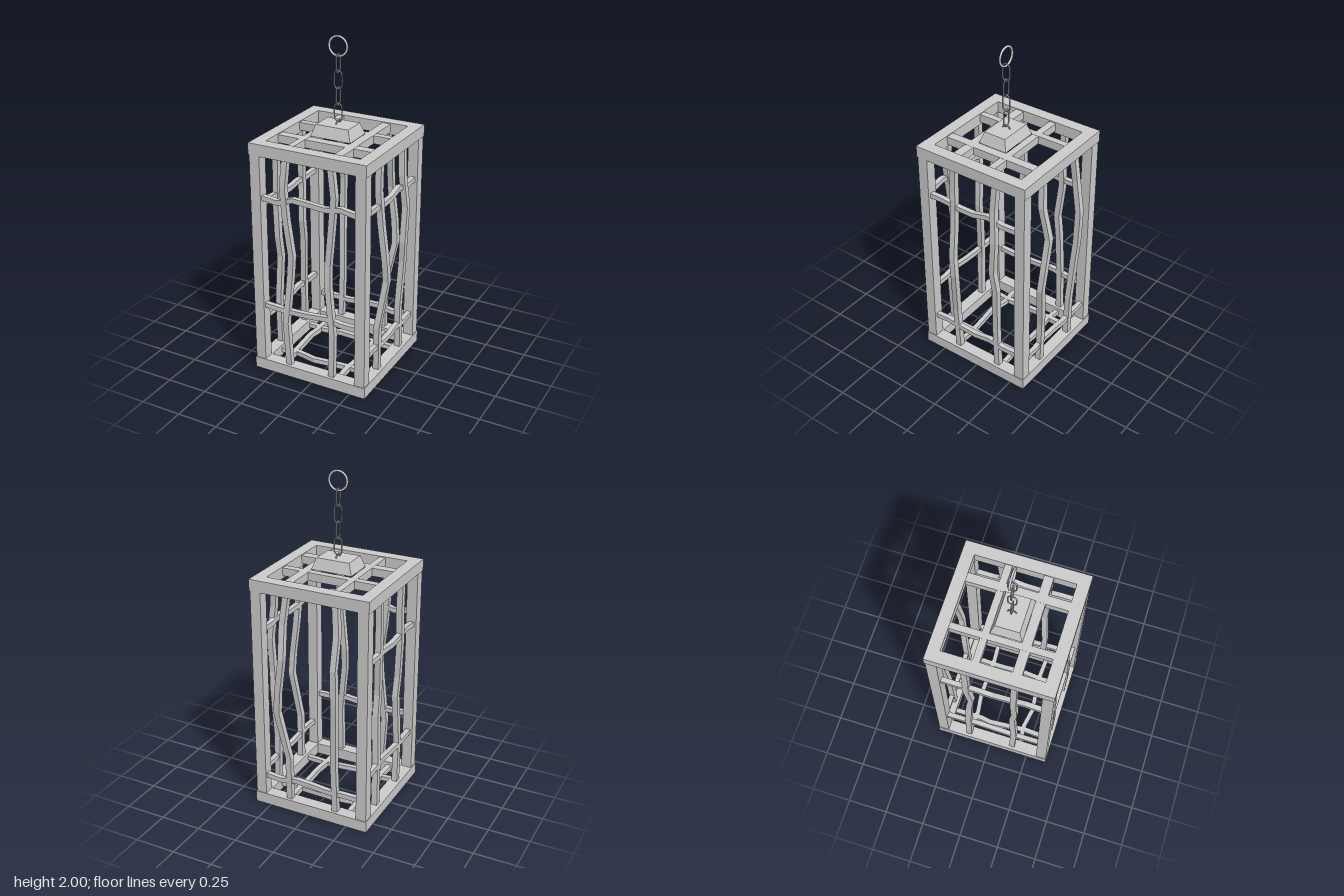
import * as THREE from 'three';

const grey = new THREE.MeshStandardMaterial({ color: 0xcccccc });
const flat = new THREE.MeshStandardMaterial({ color: 0xcccccc, flatShading: true });
const CX = -0.016, CZ = 0.018, HALF = 0.365; // cage centre and half width

function add(parent, name, geometry, material = flat) {
  const mesh = new THREE.Mesh(geometry, material);
  mesh.name = name;
  parent.add(mesh);
  return mesh;
}

function box(parent, name, x0, x1, y0, y1, z0, z1) {
  const mesh = add(parent, name, new THREE.BoxGeometry(x1 - x0, y1 - y0, z1 - z0));
  mesh.position.set((x0 + x1) / 2, (y0 + y1) / 2, (z0 + z1) / 2);
}

// Crooked square bar through points that ascend along one axis (0 x, 1 y, 2 z)
function branch(parent, name, axis, points, width) {
  const a = (axis + 1) % 3, b = (axis + 2) % 3, h = width / 2;
  const corners = [[-h, -h], [h, -h], [h, h], [-h, h]];
  const positions = [], index = [];
  for (const p of points) {
    for (const [da, db] of corners) {
      const v = [...p];
      v[a] += da;
      v[b] += db;
      positions.push(...v);
    }
  }
  for (let i = 0; i < points.length - 1; i++) {
    for (let j = 0; j < 4; j++) {
      const p = i * 4 + j, q = i * 4 + (j + 1) % 4;
      index.push(p, q, q + 4, p, q + 4, p + 4);
    }
  }
  const e = (points.length - 1) * 4;
  index.push(0, 2, 1, 0, 3, 2, e, e + 1, e + 2, e, e + 2, e + 3);
  const g = new THREE.BufferGeometry();
  g.setAttribute('position', new THREE.Float32BufferAttribute(positions, 3));
  g.setIndex(index);
  g.computeVertexNormals();
  add(parent, name, g);
}

// Square rim with an open middle
function rim(parent, name, y) {
  const square = (Type, r) => new Type([[-r, -r], [r, -r], [r, r], [-r, r]].map(p => new THREE.Vector2(...p)));
  const shape = square(THREE.Shape, HALF);
  shape.holes.push(square(THREE.Path, HALF - 0.072));
  const g = new THREE.ExtrudeGeometry(shape, { depth: 0.07, bevelEnabled: false });
  g.rotateX(-Math.PI / 2);
  add(parent, name, g).position.set(CX, y, CZ);
}

// Oblong chain link in the xy plane
function linkGeometry(w, h, tube) {
  const r = w / 2, s = h / 2 - r, pts = [];
  for (let i = 0; i < 20; i++) {
    const t = (i + 0.5) / 20 * Math.PI * 2;
    pts.push(new THREE.Vector3(Math.cos(t) * r, Math.sin(t) * r + (Math.sin(t) > 0 ? s : -s), 0));
  }
  return new THREE.TubeGeometry(new THREE.CatmullRomCurve3(pts, true), 40, tube, 8, true);
}

export function createModel() {
  const model = new THREE.Group();
  model.name = 'hangingCage';

  // Frame
  rim(model, 'bottomRim', 0);
  rim(model, 'topRim', 1.365);
  for (const sx of [-1, 1]) {
    for (const sz of [-1, 1]) {
      const x = CX + sx * 0.329, z = CZ + sz * 0.329;
      box(model, 'cornerPost', x - 0.032, x + 0.032, 0.06, 1.37, z - 0.032, z + 0.032);
    }
  }

  // Straight lattice in the top opening
  for (const [x0, x1] of [[-0.174, -0.135], [0.115, 0.168]]) box(model, 'topBar', x0, x1, 1.38, 1.43, -0.28, 0.315);
  for (const [z0, z1] of [[-0.097, -0.055], [0.127, 0.182]]) box(model, 'topBar', -0.315, 0.28, 1.381, 1.429, z0, z1);

  // Upright branches: [y, sideways, outward]
  const ys = [0.05, 0.35, 0.65, 0.78, 1.0, 1.2, 1.38];
  const upright = (name, side, out, bends) => {
    const pts = bends.map(([u, v], i) => side === 'x' ? [out + v, ys[i], u] : [u, ys[i], out + v]);
    branch(model, name, 1, pts, 0.036);
  };
  upright('frontBranch', 'z', 0.347, [[-0.16, 0], [-0.175, 0.005], [-0.15, -0.01], [-0.14, -0.01], [-0.165, 0], [-0.175, 0.01], [-0.16, 0]]);
  upright('frontBranch', 'z', 0.347, [[0.12, 0], [0.13, 0.005], [0.1, 0], [0.097, -0.01], [0.12, -0.005], [0.14, 0], [0.12, 0]]);
  upright('backBranch', 'z', -0.312, [[-0.17, 0], [-0.165, -0.01], [-0.175, -0.03], [-0.18, -0.04], [-0.18, -0.047], [-0.185, -0.015], [-0.17, 0]]);
  upright('backBranch', 'z', -0.312, [[0.13, 0], [0.13, -0.008], [0.183, -0.038], [0.172, -0.047], [0.14, -0.054], [0.15, -0.015], [0.13, 0]]);
  upright('leftBranch', 'x', 0.312, [[0.15, 0], [0.16, 0.005], [0.135, 0.047], [0.145, 0.042], [0.148, 0.015], [0.155, 0], [0.15, 0]]);
  upright('leftBranch', 'x', 0.312, [[-0.14, 0], [-0.13, 0], [-0.14, 0.015], [-0.125, 0.025], [-0.14, 0.028], [-0.125, 0.01], [-0.135, 0]]);
  upright('rightBranch', 'x', -0.345, [[0.145, 0], [0.155, 0], [0.14, 0.01], [0.155, 0.005], [0.15, -0.005], [0.15, 0], [0.155, 0]]);
  upright('rightBranch', 'x', -0.345, [[-0.145, 0], [-0.14, 0], [-0.13, 0.01], [-0.115, 0.01], [-0.135, 0], [-0.13, 0], [-0.14, 0]]);

  // Level branches across the sides
  const level = (name, axis, y, out, wave) => {
    const pts = wave.map((d, i) => {
      const t = (axis === 0 ? -0.32 : -0.285) + 0.61 * i / (wave.length - 1);
      return axis === 0 ? [t, y + d, out] : [out, y + d, t];
    });
    branch(model, name, axis, pts, 0.03);
  };
  level('frontCrossBranch', 0, 1.12, 0.35, [-0.008, -0.02, 0.014, 0.008, 0, 0.018, 0]);
  level('frontCrossBranch', 0, 0.43, 0.35, [0, -0.005, -0.005, 0, 0.012, -0.005, -0.005]);
  level('backCrossBranch', 0, 0.19, -0.315, [0, 0, -0.005, 0.005, 0.01, -0.01, 0]);
  level('leftCrossBranch', 2, 1.12, 0.315, [-0.005, -0.008, 0.012, -0.012, -0.012, 0, 0]);
  level('leftCrossBranch', 2, 0.22, 0.315, [0, -0.005, 0.01, -0.005, 0, 0.012, 0.005]);
  level('rightCrossBranch', 2, 1.045, -0.348, [0, -0.005, 0, -0.012, -0.002, 0.012, 0]);
  level('rightCrossBranch', 2, 0.33, -0.348, [0, 0, 0.012, 0, -0.008, -0.01, -0.005]);

  // Crooked lattice in the floor opening
  const floorY = 0.035;
  const floorX = [[-0.32, -0.147], [-0.2, -0.137], [-0.08, -0.153], [0.12, -0.147], [0.18, -0.143], [0.285, -0.15]];
  const floorX2 = [[-0.32, 0.19], [-0.2, 0.18], [-0.08, 0.202], [0.05, 0.188], [0.15, 0.18], [0.285, 0.188]];
  const floorZ = [[-0.28, -0.23], [-0.1, -0.23], [-0.04, -0.24], [0.08, -0.232], [0.2, -0.223], [0.32, -0.23]];
  const floorZ2 = [[-0.28, 0.145], [-0.21, 0.153], [-0.1, 0.148], [0.08, 0.154], [0.2, 0.142], [0.32, 0.145]];
  for (const f of [floorX, floorX2]) branch(model, 'floorBranch', 0, f.map(([x, z]) => [x, floorY, z]), 0.029);
  for (const f of [floorZ, floorZ2]) branch(model, 'floorBranch', 2, f.map(([z, x]) => [x, floorY, z]), 0.031);

  // Tapered cap block
  const cap = new THREE.BoxGeometry(0.25, 0.067, 0.182);
  const p = cap.attributes.position;
  for (let i = 0; i < p.count; i++) {
    if (p.getY(i) > 0) p.setXYZ(i, Math.sign(p.getX(i)) * 0.102, p.getY(i), Math.sign(p.getZ(i)) * 0.07);
  }
  cap.computeVertexNormals();
  add(model, 'capBlock', cap).position.set(-0.008, 1.4665, 0.036);

  // Chain: eye, four links turned in alternation, and a ring
  const chain = new THREE.Group();
  chain.name = 'chain';
  chain.position.set(-0.008, 0, 0.031);
  model.add(chain);
  const eye = add(chain, 'capEye', new THREE.TorusGeometry(0.024, 0.004, 8, 24), grey);
  eye.position.y = 1.495;
  eye.rotation.y = Math.PI / 2;
  const link = linkGeometry(0.046, 0.104, 0.004);
  for (let i = 0; i < 4; i++) {
    const mesh = add(chain, 'chainLink', link, grey);
    mesh.position.y = 1.564 + i * 0.0935;
    mesh.rotation.y = i % 2 ? Math.PI / 2 : 0;
  }
  add(chain, 'hangingRing', new THREE.TorusGeometry(0.055, 0.0065, 10, 40), grey).position.y = 1.9385;

  return model;
}
